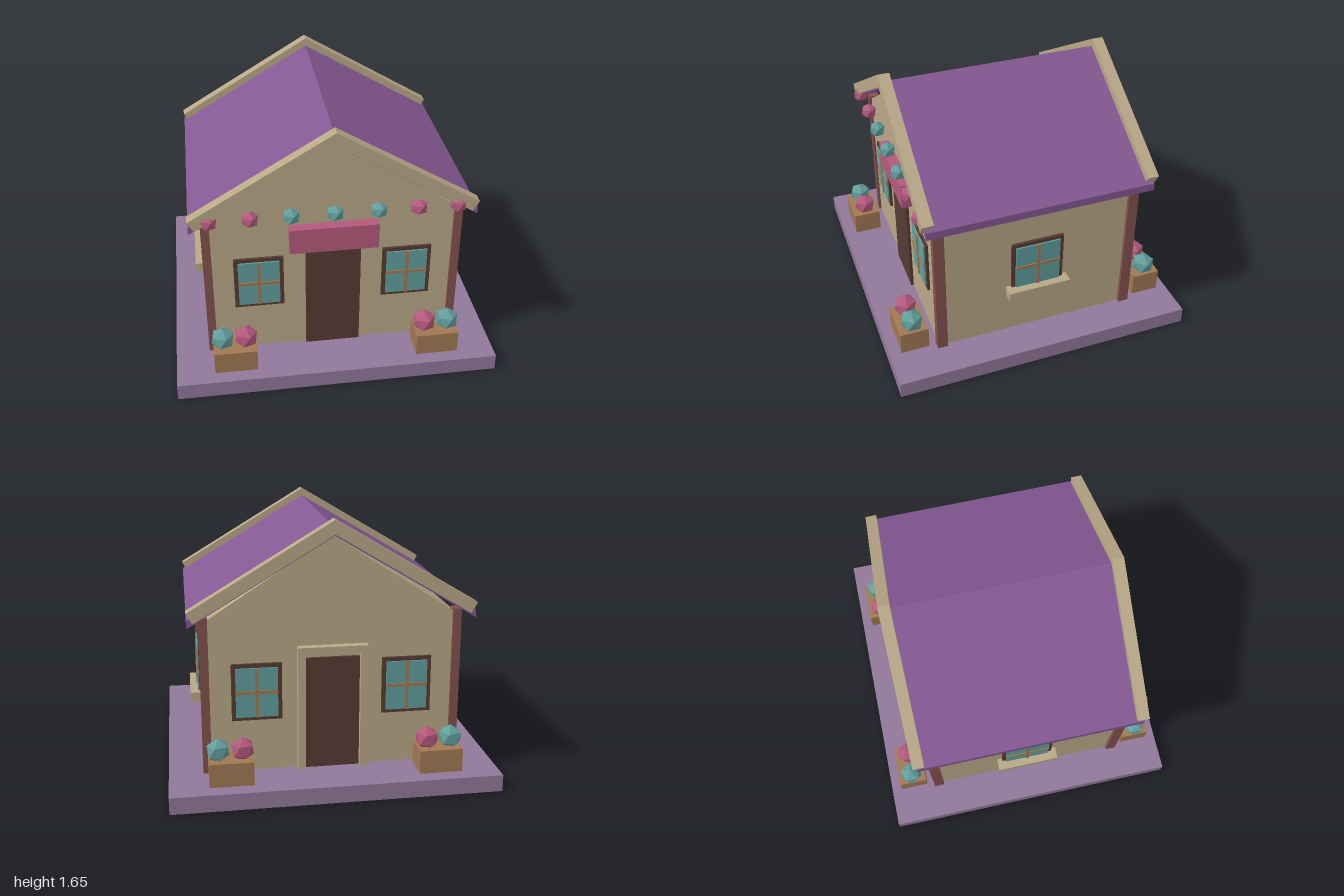
import * as THREE from 'three';

const mat = (name, color) => {
  const m = new THREE.MeshStandardMaterial({ color });
  m.name = name;
  return m;
};

export function createModel() {
  const house = new THREE.Group();
  house.name = 'cottage';

  const sand = mat('sand', 0xb9a888);
  const paving = mat('dustyPurple', 0x91789b);
  const purple = mat('roofPurple', 0x845893);
  const redwood = mat('redwood', 0x84524d);
  const darkWood = mat('darkWood', 0x573a33);
  const lightWood = mat('lightWood', 0xa17853);
  const teal = mat('teal', 0x619f9d);
  const pink = mat('pink', 0xb4597c);

  const add = (parent, name, geometry, material) => {
    const m = new THREE.Mesh(geometry, material);
    m.name = name;
    parent.add(m);
    return m;
  };

  // box given by its minimum and maximum corners
  const box = (parent, name, material, [x0, y0, z0], [x1, y1, z1]) =>
    add(parent, name, new THREE.BoxGeometry(x1 - x0, y1 - y0, z1 - z0), material)
      .position.set((x0 + x1) / 2, (y0 + y1) / 2, (z0 + z1) / 2);

  // outline in x,y extruded from z0 to z1
  const prism = (name, material, points, z0, z1) => {
    const shape = new THREE.Shape(points.map(([x, y]) => new THREE.Vector2(x, y)));
    const g = new THREE.ExtrudeGeometry(shape, { depth: z1 - z0, bevelEnabled: false });
    return add(house, name, g.translate(0, 0, z0), material);
  };

  // faceted ball with one corner pointing straight up
  const ball = (parent, name, material, r, x, y, z) => {
    const g = new THREE.IcosahedronGeometry(r, 0);
    g.rotateZ(-Math.atan(2 / (1 + Math.sqrt(5))));
    add(parent, name, g, material).position.set(x, y, z);
  };

  // ground slab and gabled walls
  box(house, 'baseSlab', paving, [-1, 0, -0.955], [1, 0.105, 0.955]);
  prism('walls', sand, [[-0.77, 0.1], [0.77, 0.1], [0.77, 1.045], [0, 1.545], [-0.77, 1.045]], -0.64, 0.64);

  // corner posts
  for (const sx of [-1, 1]) for (const sz of [-1, 1]) {
    const x = sx * 0.765, z = sz * 0.623;
    box(house, 'cornerPost', redwood, [x - 0.026, 0.1, z - 0.033], [x + 0.026, 1.08, z + 0.033]);
  }

  // roof sheet with vertical eaves
  prism('roof', purple,
    [[0, 1.6], [-0.86, 1.086], [-0.86, 1.037], [0, 1.553], [0.86, 1.037], [0.86, 1.086]], -0.713, 0.713);

  // gable boards with ends cut square to the slope
  for (const s of [-1, 1]) {
    prism('gableBoard', sand,
      [[0, 1.65], [-0.862, 1.134], [-0.824, 1.07], [0, 1.564], [0.824, 1.07], [0.862, 1.134]],
      s * 0.699 - 0.036, s * 0.699 + 0.036);
  }

  // window facing +z with its back on z = 0
  const makeWindow = (withSill) => {
    const w = new THREE.Group();
    w.name = 'window';
    const hw = withSill ? 0.168 : 0.152;
    const gw = withSill ? 0.144 : 0.127;
    box(w, 'windowFrame', darkWood, [-hw, 0.435, -0.01], [hw, 0.79, 0.016]);
    box(w, 'windowGlass', teal, [-gw, 0.457, -0.01], [gw, 0.765, 0.025]);
    box(w, 'uprightBar', lightWood, [-0.01, 0.457, 0], [0.01, 0.765, 0.032]);
    box(w, 'crossBar', lightWood, [-gw, 0.604, 0], [gw, 0.624, 0.031]);
    if (withSill) box(w, 'windowSill', sand, [-0.2, 0.4, -0.01], [0.2, 0.462, 0.073]);
    house.add(w);
    return w;
  };

  for (const s of [-1, 1]) {
    // front, back and side windows
    makeWindow(false).position.set(s * 0.458, 0, 0.64);
    const back = makeWindow(false);
    back.rotation.y = Math.PI;
    back.position.set(s * 0.458, 0, -0.64);
    const side = makeWindow(true);
    side.rotation.y = s * Math.PI / 2;
    side.position.x = s * 0.772;

    // doors
    box(house, s > 0 ? 'frontDoor' : 'backDoor', darkWood,
      [-0.17, 0.1, s * 0.64 - 0.018], [0.17, 0.81, s * 0.64 + 0.018]);

    // back door surround
    const jx = s * 0.19;
    box(house, 'doorJamb', sand, [jx - 0.023, 0.1, -0.692], [jx + 0.023, 0.84, -0.63]);
  }
  box(house, 'doorLintel', sand, [-0.213, 0.835, -0.692], [0.213, 0.885, -0.63]);

  // blank sign over the front door
  box(house, 'signBoard', pink, [-0.27, 0.84, 0.63], [0.27, 1.005, 0.706]);

  // row of lanterns across the front
  [-0.74, -0.5, -0.26, 0, 0.26, 0.5, 0.74].forEach((x) =>
    ball(house, 'lantern', Math.abs(x) > 0.4 ? pink : teal, 0.054, x, 1.112, 0.712));

  // planters with two bushes at each corner
  for (const sx of [-1, 1]) for (const sz of [-1, 1]) {
    const p = new THREE.Group();
    p.name = 'planter';
    const x = sx * 0.631, z = sz * 0.793;
    box(p, 'planterBox', lightWood, [x - 0.132, 0.117, z - 0.09], [x + 0.132, 0.262, z + 0.09]);
    ball(p, 'outerBush', teal, 0.075, sx * 0.705, 0.313, z);
    ball(p, 'innerBush', pink, 0.075, sx * 0.56, 0.313, z);
    house.add(p);
  }

  return house;
}
